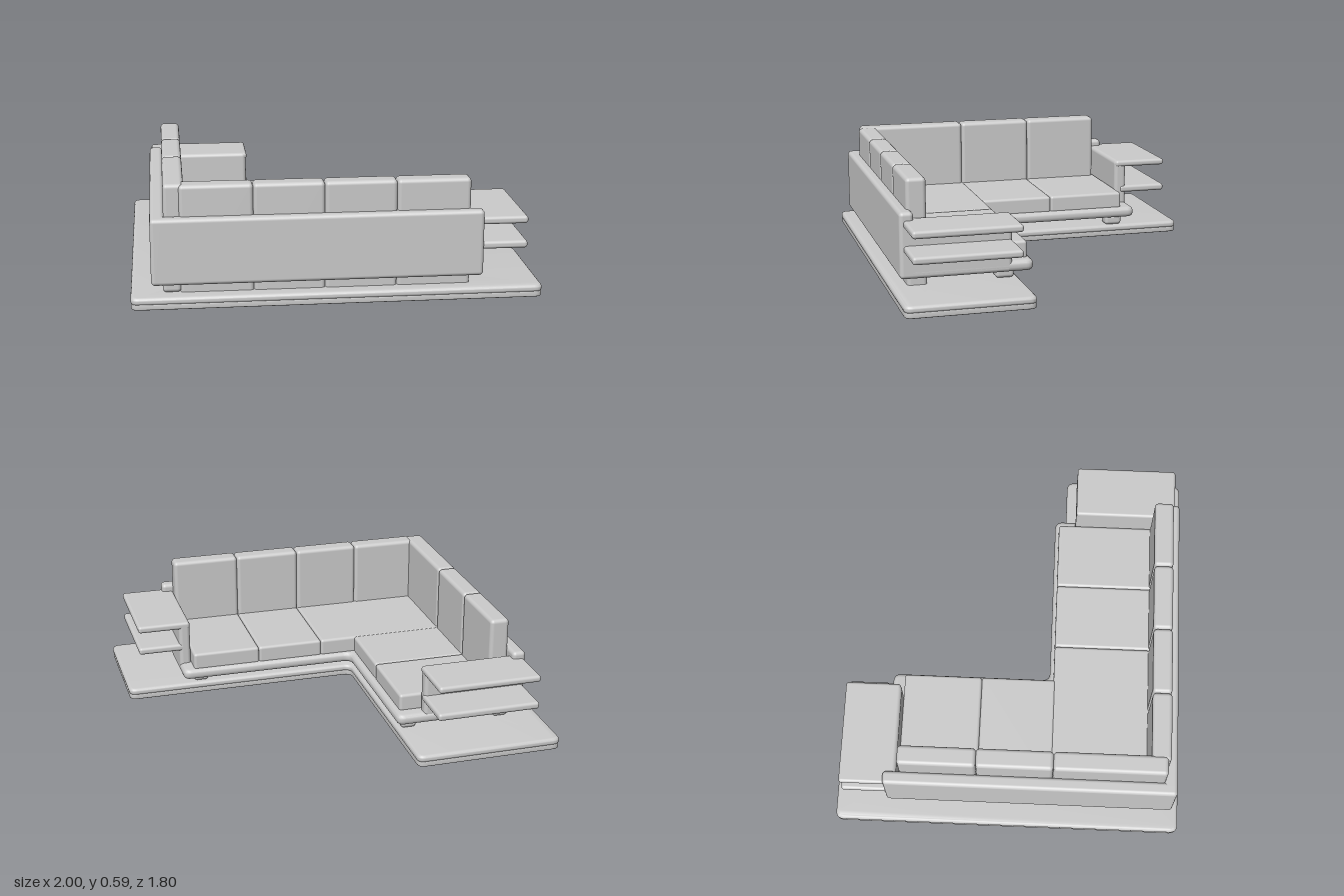
import * as THREE from 'three';
import { RoundedBoxGeometry } from 'three/addons/geometries/RoundedBoxGeometry.js';
import { toCreasedNormals } from 'three/addons/utils/BufferGeometryUtils.js';

const material = new THREE.MeshStandardMaterial({ color: 0xcccccc });

export function createModel() {
  const model = new THREE.Group();

  const add = (name, geometry) => {
    const mesh = new THREE.Mesh(geometry, material);
    mesh.name = name;
    model.add(mesh);
    return mesh;
  };

  // Rounded block given by its extents on each axis
  const block = (name, [x0, x1], [y0, y1], [z0, z1], radius = 0.02) => {
    const mesh = add(name, new RoundedBoxGeometry(x1 - x0, y1 - y0, z1 - z0, 4, radius));
    mesh.position.set((x0 + x1) / 2, (y0 + y1) / 2, (z0 + z1) / 2);
    return mesh;
  };

  // L-shaped slab with rounded corners and bevelled rims; corners are [x, z]
  const slab = (name, corners, y0, y1, bevel, round) => {
    const points = corners.map(([x, z]) => new THREE.Vector2(x, z));
    const shape = new THREE.Shape();
    points.forEach((p, i) => {
      const before = points[(i + points.length - 1) % points.length];
      const after = points[(i + 1) % points.length];
      const a = p.clone().add(before.clone().sub(p).setLength(round));
      const b = p.clone().add(after.clone().sub(p).setLength(round));
      if (i === 0) shape.moveTo(a.x, a.y);
      else shape.lineTo(a.x, a.y);
      shape.quadraticCurveTo(p.x, p.y, b.x, b.y);
    });
    shape.closePath();
    const geometry = new THREE.ExtrudeGeometry(shape, {
      depth: y1 - y0 - 2 * bevel, bevelSize: bevel, bevelThickness: bevel,
      bevelOffset: -bevel, bevelSegments: 4, curveSegments: 6,
    });
    geometry.rotateX(Math.PI / 2).translate(0, y1 - bevel, 0);
    add(name, toCreasedNormals(geometry, 0.7));
  };

  const lShape = (x0, x1, z0, z1, innerX, innerZ) =>
    [[x0, z0], [innerX, z0], [innerX, innerZ], [x1, innerZ], [x1, z1], [x0, z1]];

  // Floor platform in two layers
  slab('platformLower', lShape(-0.998, 0.998, -0.898, 0.898, -0.242, 0.262), 0.004, 0.034, 0.006, 0.04);
  slab('platformUpper', lShape(-1, 1, -0.9, 0.9, -0.24, 0.26), 0.026, 0.064, 0.016, 0.04);

  // Sofa frame
  slab('seatBase', lShape(-0.86, 0.71, -0.64, 0.84, -0.22, 0.2), 0.11, 0.165, 0.022, 0.04);

  // Feet
  for (const [x, z] of [[-0.8, -0.53], [-0.3, -0.53], [-0.3, 0.075], [-0.8, 0.075],
    [-0.3, 0.33], [0.6, 0.33]]) {
    block('foot', [x - 0.04, x + 0.04], [0.062, 0.115], [z - 0.047, z + 0.047], 0.018);
  }

  // Outer back panels
  block('sideBackPanel', [-0.9, -0.83], [0.11, 0.44], [-0.635, 0.865]);
  block('frontBackPanel', [-0.9, 0.71], [0.11, 0.44], [0.795, 0.865]);

  // Seat cushions
  for (const z of [[-0.57, -0.16], [-0.16, 0.23]]) {
    block('seatCushion', [-0.83, -0.25], [0.155, 0.248], z, 0.015);
  }
  for (const x of [[-0.83, -0.06], [-0.06, 0.29], [0.29, 0.65]]) {
    block('seatCushion', x, [0.155, 0.248], [0.22, 0.81], 0.015);
  }

  // Back cushions
  for (const z of [[-0.555, -0.16], [-0.16, 0.23], [0.23, 0.805]]) {
    block('sideBackCushion', [-0.835, -0.735], [0.2, 0.595], z);
  }
  for (const x of [[-0.76, -0.405], [-0.405, -0.06], [-0.06, 0.29], [0.29, 0.65]]) {
    block('frontBackCushion', x, [0.002, 0.592], [0.72, 0.82]);
  }
  block('cornerFoot', [-0.845, -0.755], [0.062, 0.125], [0.72, 0.82]);

  // Armrests with two overhanging shelves each
  block('backArm', [-0.885, -0.36], [0.11, 0.405], [-0.635, -0.57]);
  block('backArmTopShelf', [-0.89, -0.355], [0.37, 0.405], [-0.86, -0.575], 0.015);
  block('backArmLowerShelf', [-0.89, -0.355], [0.222, 0.26], [-0.86, -0.6], 0.015);
  block('leftArm', [0.65, 0.71], [0.11, 0.4], [0.31, 0.845]);
  block('leftArmTopShelf', [0.65, 0.93], [0.362, 0.4], [0.31, 0.845], 0.015);
  block('leftArmLowerShelf', [0.67, 0.93], [0.238, 0.276], [0.31, 0.845], 0.015);

  return model;
}
